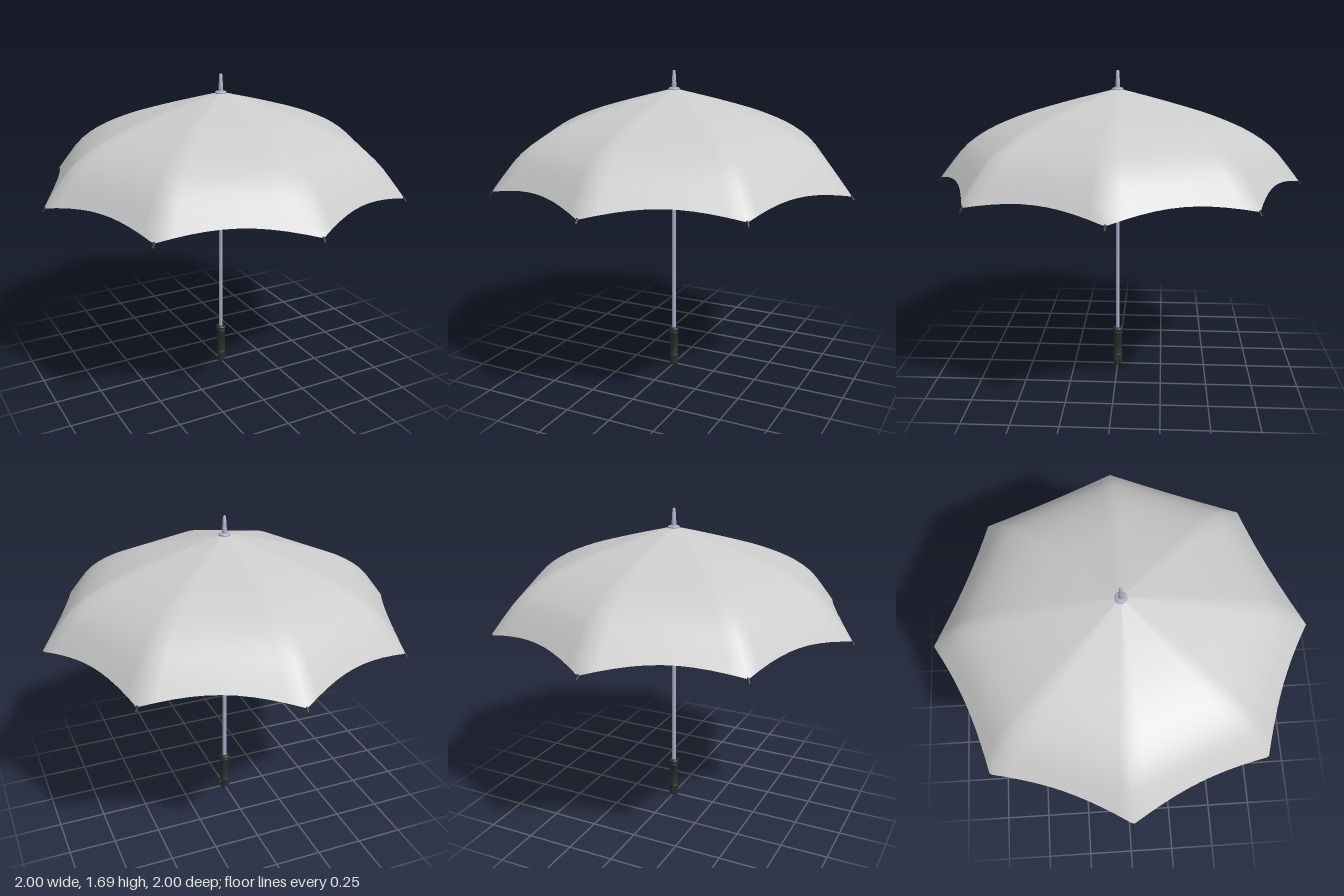
import * as THREE from 'three';
import { toCreasedNormals } from 'three/addons/utils/BufferGeometryUtils.js';

const RIBS = 8, STEP = Math.PI / 4;
const paint = (color, side = THREE.FrontSide) => new THREE.MeshStandardMaterial({ color, side });
const fabric = paint(0xcccccc, THREE.DoubleSide);
const metal = paint(0xaaaac4), dark = paint(0x2b2b2b), darkOpen = paint(0x2b2b2b, THREE.DoubleSide);

// Rib profile as (radius, height), from the crown to the rim
const ribCurve = new THREE.CatmullRomCurve3([
  [0.012, 1.592], [0.29, 1.52], [0.52, 1.45], [0.705, 1.37], [0.83, 1.285], [0.91, 1.195], [0.985, 1.1],
].map(([r, y]) => new THREE.Vector3(0, y, r)));

function mesh(name, geometry, material) {
  const m = new THREE.Mesh(geometry, material);
  m.name = name;
  return m;
}

// Grid of points closed around its columns
function ringGrid(rows, cols, pointAt) {
  const pos = [], idx = [];
  for (let i = 0; i <= rows; i++) {
    for (let j = 0; j < cols; j++) pos.push(...pointAt(i, j));
  }
  for (let i = 0; i < rows; i++) {
    for (let j = 0; j < cols; j++) {
      const k = (j + 1) % cols, a = i * cols, b = a + cols;
      idx.push(a + j, b + j, b + k, a + j, b + k, a + k);
    }
  }
  const g = new THREE.BufferGeometry();
  g.setAttribute('position', new THREE.Float32BufferAttribute(pos, 3));
  g.setIndex(idx);
  g.computeVertexNormals();
  return g;
}

// Panels stretched straight between ribs, with the hem cut in between the tips
function canopyGeometry() {
  const per = 10, rows = 18;
  return ringGrid(rows, RIBS * per, (i, j) => {
    const t = (j % per) / per, cut = 4 * t * (1 - t) * 0.052;
    const p = ribCurve.getPointAt((i / rows) * (1 - cut));
    const r = p.z * Math.cos(STEP / 2) / Math.cos((t - 0.5) * STEP);
    const a = (j / per) * STEP;
    return [r * Math.sin(a), p.y, r * Math.cos(a)];
  });
}

function lathe(points, segments = 32) {
  const g = new THREE.LatheGeometry(points.map(([r, y]) => new THREE.Vector2(r, y)), segments);
  return toCreasedNormals(g, 0.6);
}

// Straight rod between two points in the x = 0 plane, given as (radius, height)
function rod(name, [r0, y0], [r1, y1], thickness, material) {
  const path = new THREE.LineCurve3(new THREE.Vector3(0, y0, r0), new THREE.Vector3(0, y1, r1));
  const group = new THREE.Group();
  group.name = name;
  group.add(mesh(name + 'Rod', new THREE.TubeGeometry(path, 1, thickness, 8), material));
  return group;
}

// One side of the grip's foot: a half cylinder pierced by the strap hole
function piercedHalf(side) {
  const R = 0.027, H = 0.024, hole = 0.011, mid = 0.036;
  return toCreasedNormals(ringGrid(7, 32, (i, j) => {
    const a = (j / 32) * Math.PI * 2, c = Math.cos(a), s = Math.sin(a);
    const m = Math.max(Math.abs(c), Math.abs(s));
    const f = Math.max(0, i - 1) / 6;
    const phi = THREE.MathUtils.lerp(Math.asin(hole * c / R), Math.PI / 2 * c / m, f);
    const y = mid + THREE.MathUtils.lerp(hole * s, H * s / m, f);
    return [i === 0 ? 0 : side * R * Math.cos(phi), y, -side * R * Math.sin(phi)];
  }), 0.7);
}

function createHandle() {
  const handle = new THREE.Group();
  handle.name = 'handle';
  handle.add(
    mesh('gripBase', lathe([[0, 0], [0.02, 0], [0.025, 0.004], [0.027, 0.012]]), dark),
    mesh('gripFootLeft', piercedHalf(1), darkOpen),
    mesh('gripFootRight', piercedHalf(-1), darkOpen),
    mesh('grip', lathe([
      [0, 0.06], [0.027, 0.06], [0.024, 0.066], [0.0235, 0.12], [0.0235, 0.185], [0.026, 0.19],
      [0.026, 0.2], [0.024, 0.203], [0.029, 0.209], [0.029, 0.221], [0.025, 0.226], [0, 0.226],
    ]), dark),
  );
  return handle;
}

export function createModel() {
  const model = new THREE.Group();
  model.name = 'umbrella';
  model.add(mesh('canopy', canopyGeometry(), fabric), createHandle());

  // Shaft, ferrule and crown washer
  const shaft = mesh('shaft', new THREE.CylinderGeometry(0.011, 0.011, 1.39, 20), metal);
  shaft.position.y = 0.9;
  model.add(
    shaft,
    mesh('ferrule', lathe([[0.014, 1.58], [0.013, 1.61], [0.008, 1.685], [0.005, 1.69], [0, 1.69]], 20), metal),
    mesh('crownWasher', lathe([[0.031, 1.583], [0.031, 1.593], [0.026, 1.598], [0.012, 1.6]], 24), metal),
  );

  // Upper hub and sliding runner
  model.add(
    mesh('upperHub', lathe([[0.011, 1.47], [0.018, 1.47], [0.018, 1.55], [0.024, 1.555], [0.024, 1.575], [0, 1.575]], 20), dark),
    mesh('runner', lathe([[0.011, 1.345], [0.017, 1.345], [0.017, 1.41], [0.011, 1.41]], 20), metal),
    mesh('runnerCollar', lathe([[0.011, 1.31], [0.019, 1.31], [0.019, 1.345], [0.011, 1.345]], 20), dark),
  );

  // Ribs under the fabric, each with its stretcher and end tip
  const ribPath = new THREE.CatmullRomCurve3(
    ribCurve.getSpacedPoints(12).map((p) => new THREE.Vector3(0, p.y - 0.007, p.z - 0.003)));
  const ribGeometry = new THREE.TubeGeometry(ribPath, 28, 0.004, 6);
  for (let k = 0; k < RIBS; k++) {
    const arm = new THREE.Group();
    arm.name = 'ribAssembly';
    arm.rotation.y = k * STEP;
    const tip = rod('ribTip', [0.978, 1.105], [0.994, 1.083], 0.006, dark);
    const cap = mesh('ribTipCap', new THREE.SphereGeometry(0.006, 10, 8), dark);
    cap.position.set(0, 1.083, 0.994);
    tip.add(cap);
    arm.add(
      mesh('rib', ribGeometry, dark),
      rod('stretcher', [0.014, 1.365], [0.45, 1.462], 0.0035, dark),
      tip,
    );
    model.add(arm);
  }
  return model;
}
